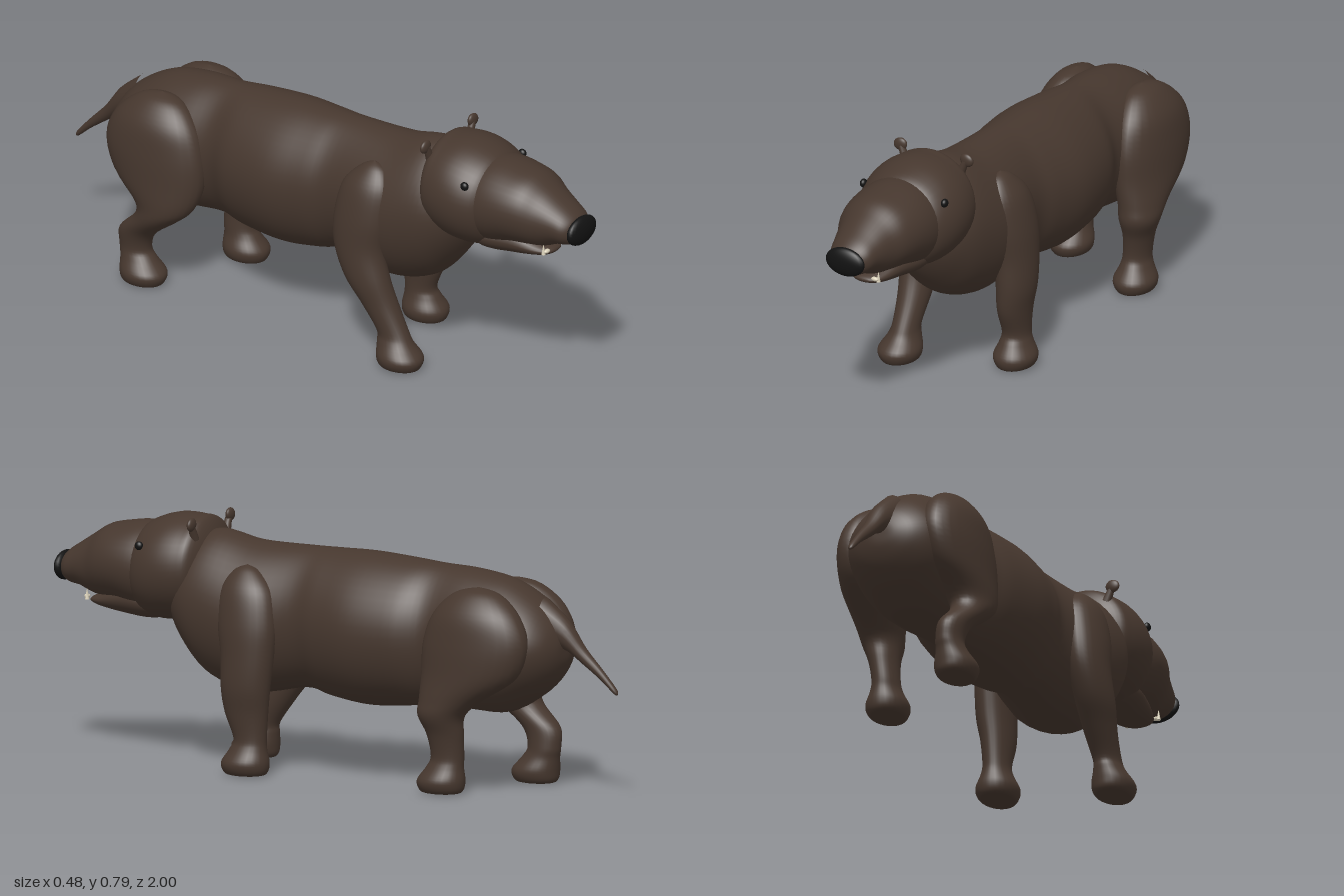
import * as THREE from 'three';

const mat = (name, color) => {
  const m = new THREE.MeshStandardMaterial({ color });
  m.name = name;
  return m;
};

// Uniform Catmull-Rom between four numbers
function spline(a, b, c, d, t) {
  return 0.5 * (2 * b + (c - a) * t + (2 * a - 5 * b + 4 * c - d) * t * t + (3 * b - a - 3 * c + d) * t * t * t);
}

// Smooth skin over elliptical sections, listed in falling order along the axis.
// axis 'z': rows [z, centreY, radiusX, radiusY]; axis 'y': rows [y, centreX, centreZ, radiusX, radiusZ]
function loft(rows, axis, { pinch = 0, sides = 36, steps = 5 } = {}) {
  const pos = [], index = [];
  const n = rows.length - 1;
  const rings = n * steps + 1;
  const row = (i) => rows[Math.min(n, Math.max(0, i))];
  for (let r = 0; r < rings; r++) {
    const k = Math.min(n - 1, Math.floor(r / steps));
    const t = r / steps - k;
    const v = row(k).map((b, c) => spline(row(k - 1)[c], b, row(k + 1)[c], row(k + 2)[c], t));
    for (let j = 0; j < sides; j++) {
      const a = (j / sides) * Math.PI * 2;
      const cos = Math.cos(a), sin = Math.sin(a);
      if (axis === 'z') {
        const up = Math.max(0, -sin);
        const rx = Math.max(0.0005, v[2]) * (1 - pinch * up * up);
        pos.push(rx * cos, v[1] - Math.max(0.0005, v[3]) * sin, v[0]);
      } else {
        pos.push(v[1] + Math.max(0.0005, v[3]) * cos, v[0], v[2] + Math.max(0.0005, v[4]) * sin);
      }
    }
  }
  for (let r = 0; r < rings - 1; r++) {
    for (let j = 0; j < sides; j++) {
      const a = r * sides + j, b = r * sides + ((j + 1) % sides);
      index.push(a, b, a + sides, b, b + sides, a + sides);
    }
  }
  const g = new THREE.BufferGeometry();
  g.setAttribute('position', new THREE.Float32BufferAttribute(pos, 3));
  g.setIndex(index);
  g.computeVertexNormals();
  return g;
}

export function createModel() {
  const model = new THREE.Group();
  const fur = mat('brown fur', 0x46372e);
  const black = mat('black nose and eyes', 0x121212);
  const ivory = mat('ivory teeth', 0xd8cfb8);

  const add = (name, geometry, material, x = 0, y = 0, z = 0) => {
    const m = new THREE.Mesh(geometry, material);
    m.name = name;
    m.position.set(x, y, z);
    model.add(m);
    return m;
  };
  const ball = (rx, ry, rz) => new THREE.SphereGeometry(1, 24, 16).scale(rx, ry, rz);

  // Trunk: chest, barrel and rump, with a narrower back
  add('body', loft([
    [0.57, 0.53, 0, 0], [0.55, 0.525, 0.1, 0.09], [0.5, 0.53, 0.155, 0.18], [0.42, 0.51, 0.18, 0.235],
    [0.28, 0.48, 0.187, 0.24], [0.1, 0.493, 0.158, 0.224], [0, 0.483, 0.18, 0.234],
    [-0.13, 0.475, 0.202, 0.242], [-0.28, 0.475, 0.187, 0.232], [-0.38, 0.477, 0.152, 0.222],
    [-0.5, 0.47, 0.175, 0.222], [-0.62, 0.46, 0.178, 0.21], [-0.72, 0.46, 0.162, 0.157],
    [-0.78, 0.46, 0.115, 0.1], [-0.808, 0.46, 0.055, 0.045], [-0.812, 0.46, 0, 0],
  ], 'z', { pinch: 0.15, sides: 48 }), fur);

  add('tail', loft([
    [-0.74, 0.55, 0.05, 0.07], [-0.82, 0.505, 0.036, 0.048], [-0.88, 0.445, 0.022, 0.028],
    [-0.94, 0.392, 0.014, 0.018], [-0.99, 0.343, 0.01, 0.011], [-1, 0.335, 0, 0],
  ], 'z', { sides: 18 }), fur);

  // Head in three overlapping pieces
  add('cranium', loft([
    [0.423, 0.64, 0, 0], [0.43, 0.64, 0.08, 0.075], [0.46, 0.63, 0.15, 0.145], [0.5, 0.622, 0.172, 0.162],
    [0.56, 0.617, 0.18, 0.169], [0.62, 0.61, 0.172, 0.162], [0.67, 0.605, 0.145, 0.14],
    [0.7, 0.6, 0.09, 0.09], [0.705, 0.6, 0, 0],
  ].reverse(), 'z', { sides: 48 }), fur);
  add('muzzle', loft([
    [0.978, 0.585, 0, 0], [0.972, 0.585, 0.045, 0.035], [0.95, 0.588, 0.072, 0.055],
    [0.91, 0.597, 0.086, 0.072], [0.86, 0.603, 0.104, 0.098], [0.81, 0.615, 0.128, 0.116],
    [0.75, 0.618, 0.143, 0.126], [0.68, 0.612, 0.148, 0.14], [0.6, 0.605, 0.14, 0.14],
  ], 'z', { sides: 40 }), fur);
  add('lowerJaw', loft([
    [0.88, 0.488, 0, 0], [0.872, 0.488, 0.035, 0.01], [0.83, 0.49, 0.06, 0.025],
    [0.75, 0.5, 0.082, 0.048], [0.65, 0.5, 0.1, 0.055], [0.56, 0.5, 0.06, 0.035],
  ], 'z', { sides: 28 }), fur);
  add('nose', ball(0.07, 0.047, 0.022), black, 0, 0.585, 0.978);

  // Paired face details
  for (const s of [1, -1]) {
    add('eye', ball(0.011, 0.014, 0.014), black, s * 0.149, 0.692, 0.633);
    const ear = add('ear', ball(0.024, 0.021, 0.011), fur, s * 0.122, 0.768, 0.46);
    ear.rotation.z = -s * 0.3;
    const stem = add('earStem', new THREE.CylinderGeometry(0.01, 0.015, 0.05, 12), fur, s * 0.109, 0.742, 0.462);
    stem.rotation.z = -s * 0.4;
    add('fang', new THREE.ConeGeometry(0.007, 0.036, 10), ivory, s * 0.056, 0.509, 0.872);
    add('tooth', ball(0.013, 0.007, 0.008), ivory, s * 0.046, 0.5, 0.877);
  }

  // Paw rows shared by every leg, set around the ankle and toe positions
  const paw = (ankle, z) => [
    [0.12, 0.16, ankle, 0.043, 0.055], [0.085, 0.162, ankle + (z - ankle) * 0.4, 0.05, 0.062],
    [0.045, 0.165, z, 0.068, 0.078], [0.015, 0.165, z, 0.06, 0.073], [0.004, 0.165, z, 0.04, 0.055],
    [0.003, 0.165, z, 0, 0],
  ];
  const shoulder = [
    [0.66, 0.12, 0.26, 0, 0], [0.64, 0.125, 0.26, 0.03, 0.045], [0.58, 0.14, 0.25, 0.057, 0.09],
    [0.48, 0.157, 0.24, 0.063, 0.1], [0.38, 0.166, 0.235, 0.06, 0.09],
  ];
  const thigh = [
    [0.655, 0.12, -0.57, 0, 0], [0.635, 0.128, -0.57, 0.045, 0.08], [0.57, 0.142, -0.575, 0.078, 0.15],
    [0.48, 0.15, -0.575, 0.086, 0.182], [0.38, 0.157, -0.555, 0.083, 0.165],
  ];

  // Walking pose: each leg bends differently below the shoulder or thigh
  const legs = [
    ['leftFrontLeg', 1, [...shoulder, [0.28, 0.168, 0.24, 0.058, 0.083], [0.2, 0.162, 0.24, 0.05, 0.073], ...paw(0.228, 0.242)]],
    ['rightFrontLeg', -1, [...shoulder, [0.28, 0.168, 0.268, 0.058, 0.08], [0.2, 0.162, 0.312, 0.05, 0.065], ...paw(0.36, 0.392)]],
    ['leftHindLeg', 1, [...thigh, [0.3, 0.172, -0.495, 0.069, 0.105], [0.25, 0.177, -0.467, 0.062, 0.078],
      [0.19, 0.168, -0.476, 0.047, 0.062], ...paw(-0.48, -0.46)]],
    ['rightHindLeg', -1, [...thigh, [0.3, 0.172, -0.525, 0.069, 0.105], [0.25, 0.177, -0.55, 0.06, 0.075],
      [0.18, 0.167, -0.63, 0.047, 0.064], ...paw(-0.645, -0.612)]],
  ];
  for (const [name, side, rows] of legs) {
    const placed = rows.map(([y, x, z, rx, rz]) => [y, x * side, z, rx, rz]);
    add(name, loft(placed, 'y', { sides: 28 }), fur);
  }
  return model;
}
